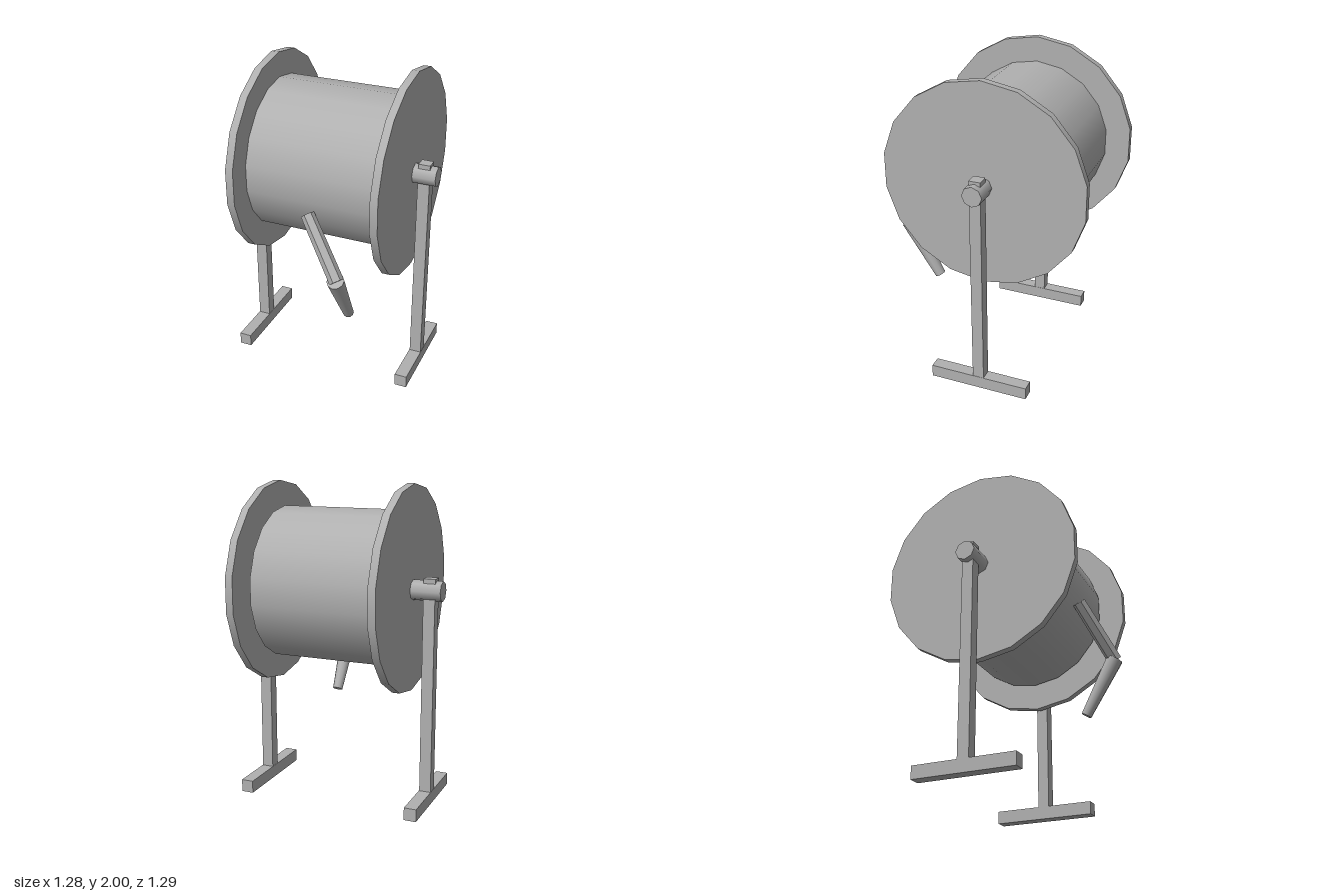
import * as THREE from 'three';

const AXIS_Y = 1.363, AXIS_Z = -0.015;

export function createModel() {
  const model = new THREE.Group();
  model.name = 'cableReel';
  const grey = new THREE.MeshStandardMaterial({ color: 0xb0b0b0 });
  grey.name = 'grey';
  const greyFlat = grey.clone();
  greyFlat.flatShading = true;

  const add = (name, geometry, material = grey) => {
    const mesh = new THREE.Mesh(geometry, material);
    mesh.name = name;
    model.add(mesh);
    return mesh;
  };

  // Round part along x on the reel axis, with a corner pointing straight up
  const roller = (name, x0, x1, radius, sides) => {
    const g = new THREE.CylinderGeometry(radius, radius, x1 - x0, sides, 1, false, Math.PI / 2);
    g.rotateZ(Math.PI / 2);
    add(name, g).position.set((x0 + x1) / 2, AXIS_Y, AXIS_Z);
  };

  // Tapered bar between two points
  const bar = (name, from, to, r0, r1, sides, material) => {
    const a = new THREE.Vector3(...from), b = new THREE.Vector3(...to);
    const dir = b.clone().sub(a);
    const mesh = add(name, new THREE.CylinderGeometry(r1, r0, dir.length(), sides), material);
    mesh.position.copy(a).add(b).multiplyScalar(0.5);
    mesh.quaternion.setFromUnitVectors(new THREE.Vector3(0, 1, 0), dir.normalize());
  };

  // Drum, flanges and axle
  roller('drum', -0.402, 0.414, 0.48, 18);
  roller('rightFlange', -0.45, -0.402, 0.637, 18);
  roller('leftFlange', 0.445, 0.492, 0.637, 18);
  roller('axle', -0.64, 0.638, 0.063, 8);

  // Stands: a post on a floor bar at each end
  for (const [side, x] of [['right', -0.563], ['left', 0.559]]) {
    add(side + 'Post', new THREE.BoxGeometry(0.074, 1.38, 0.072)).position.set(x, 0.75, AXIS_Z);
    add(side + 'Foot', new THREE.BoxGeometry(0.078, 0.08, 0.64)).position.set(x, 0.04, AXIS_Z);
  }

  // Loose end: faceted length leaving the drum, then a tapered nozzle
  bar('looseEnd', [0, 1.21, 0.465], [0.245, 0.885, 0.603], 0.042, 0.045, 6, greyFlat);
  bar('nozzle', [0.238, 0.89, 0.605], [0.238, 0.542, 0.402], 0.053, 0.033, 10);

  return model;
}
